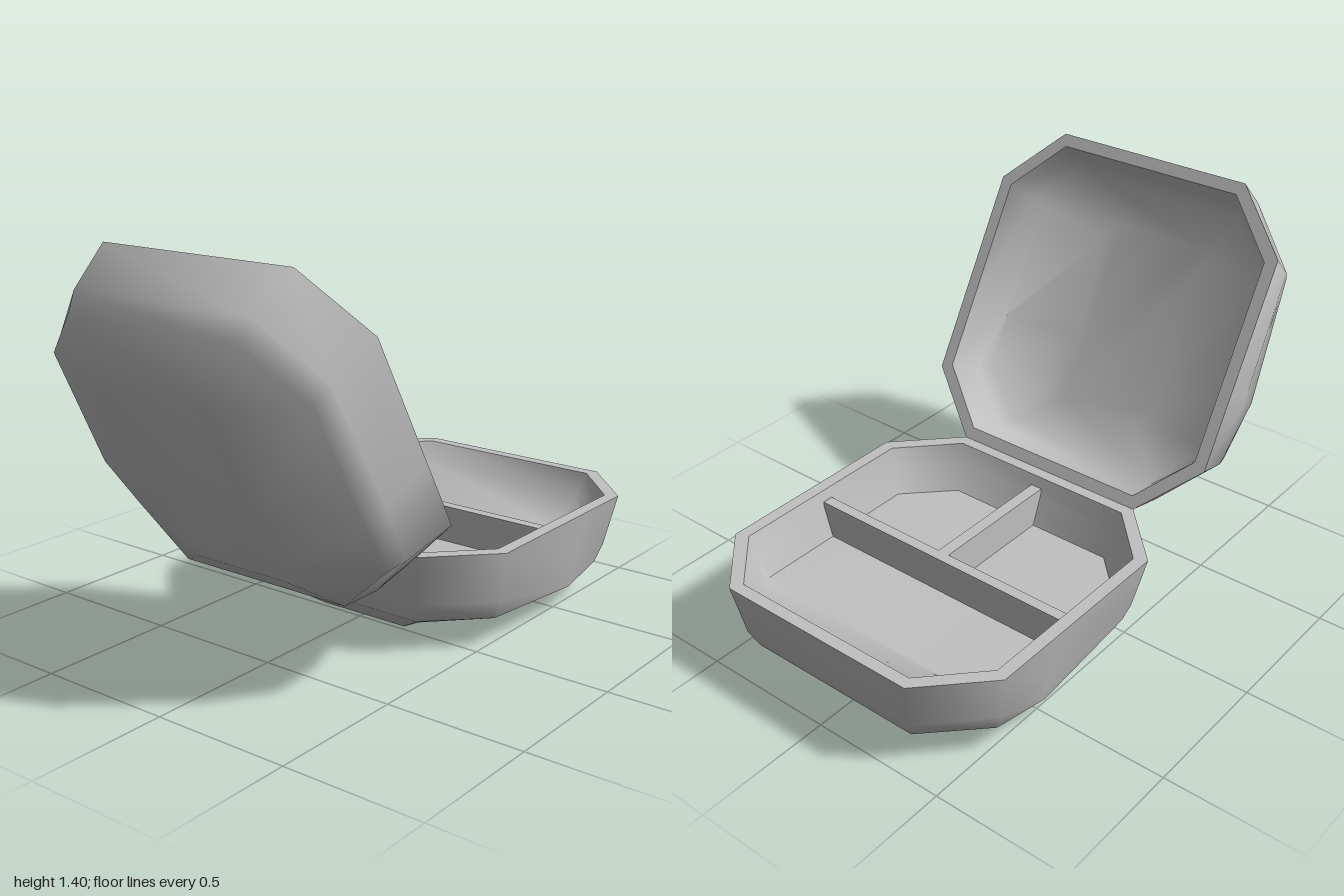
import * as THREE from 'three';
import { toCreasedNormals } from 'three/addons/utils/BufferGeometryUtils.js';

// Cut-corner ring: x/z are half sizes, cx/cz where the cut corners begin.
// Each z side has a middle point (zm, ym); xr/yr/cxr override the +x side.
function ring({ y, x, z, cx, cz, zm = z, ym = y, xr = x, yr = y, cxr = cx }) {
  const mx = 0.12;
  return [
    [xr, yr, cz], [cxr, y, z], [mx, ym, zm], [-cx, y, z], [-x, y, cz],
    [-x, y, -cz], [-cx, y, -z], [mx, ym, -zm], [cxr, y, -z], [xr, yr, -cz],
  ];
}

// Closed skin through the rings: up the outside, over the rim, down inside.
function shellGeometry(sections, crease) {
  const rings = sections.map(ring);
  const n = rings[0].length, last = rings.length - 1, index = [];
  for (let i = 0; i < last; i++) {
    for (let j = 0; j < n; j++) {
      const k = (j + 1) % n;
      const a = i * n + j, b = i * n + k, c = b + n, d = a + n;
      index.push(a, d, c, a, c, b);
    }
  }
  for (let j = 1; j < n - 1; j++) {
    index.push(0, j, j + 1);
    index.push(last * n, last * n + j + 1, last * n + j);
  }
  const geometry = new THREE.BufferGeometry();
  geometry.setAttribute('position', new THREE.Float32BufferAttribute(rings.flat(2), 3));
  geometry.setIndex(index);
  return toCreasedNormals(geometry, crease);
}

// Outside and rim of one half; xr and yr place the lower edge on the +x side
function outside(xr, yr) {
  return [
    { y: 0, x: 0.38, z: 0.2, cx: 0.32, cz: 0.18 },
    { y: 0.11, x: 0.53, z: 0.53, cx: 0.34, cz: 0.34, zm: 0.55, ym: 0.085, xr, yr },
    { y: 0.18, x: 0.563, z: 0.555, cx: 0.355, cz: 0.36, zm: 0.566 },
    { y: 0.37, x: 0.597, z: 0.596, cx: 0.38, cz: 0.385 },
    { y: 0.37, x: 0.553, z: 0.55, cx: 0.36, cz: 0.365 },
  ];
}

export function createModel() {
  const grey = new THREE.MeshStandardMaterial({ color: 0xc0c0c0 });
  grey.name = 'grey plastic';
  const model = new THREE.Group();
  model.name = 'lunchBox';

  const add = (parent, name, geometry, x, y, z) => {
    const mesh = new THREE.Mesh(geometry, grey);
    mesh.name = name;
    mesh.position.set(x, y, z);
    parent.add(mesh);
  };

  // Base: flat floor with a scooped ramp on the +x side
  add(model, 'base', shellGeometry([
    ...outside(0.53, 0.11),
    { y: 0.3, x: 0.53, z: 0.53, cx: 0.35, cz: 0.355, xr: 0.5 },
    { y: 0.2, x: 0.49, z: 0.5, cx: 0.33, cz: 0.34, xr: 0.35, cxr: 0.33 },
  ], 0.85), 0.402, 0, 0);

  // Compartment dividers
  add(model, 'longDivider', new THREE.BoxGeometry(0.04, 0.15, 1.07), 0.4, 0.26, 0);
  add(model, 'shortDivider', new THREE.BoxGeometry(0.52, 0.15, 0.045), 0.125, 0.26, 0);

  // Lid: swung open about the hinge edge, with a shallow rounded bowl
  const lid = new THREE.Group();
  lid.name = 'lid';
  lid.position.set(-0.2, 0.37, 0);
  lid.rotation.z = -Math.PI / 3;
  add(lid, 'lidShell', shellGeometry([
    ...outside(0.505, 0.055),
    { y: 0.245, x: 0.523, z: 0.52, cx: 0.34, cz: 0.34 },
    { y: 0.197, x: 0.49, z: 0.495, cx: 0.32, cz: 0.32, zm: 0.51, ym: 0.18 },
    { y: 0.14, x: 0.35, z: 0.22, cx: 0.28, cz: 0.17 },
  ], 1.25), -0.594, -0.365, 0);
  model.add(lid);

  return model;
}
